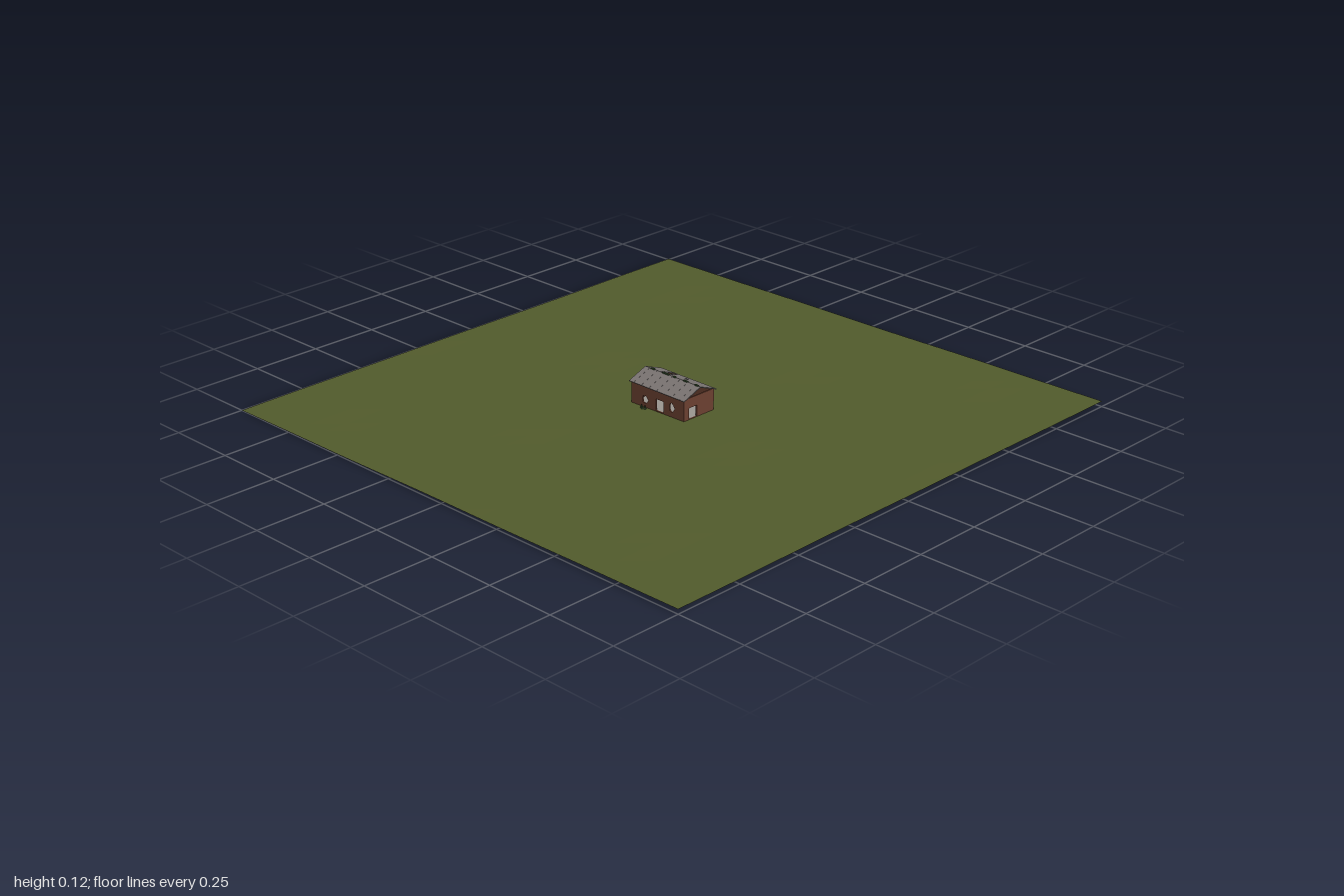
import * as THREE from 'three';

const material = (color) => new THREE.MeshStandardMaterial({ color, flatShading: true, side: THREE.DoubleSide });
const brick = material(0x6b4030), roofing = material(0x7a7472), grass = material(0x525b2c);
const concrete = material(0x9a9690), moss = material(0x38502f);

// Fits the gently sloping field
const groundHeight = (x, z) =>
  0.013 + 0.008 * x - 0.0015 * z + 0.001 * Math.sin(7 * x + 2 * z) * Math.cos(6 * z - 2 * x);

function add(parent, name, geometry, mat, x = 0, y = 0, z = 0) {
  const mesh = new THREE.Mesh(geometry, mat);
  mesh.name = name;
  mesh.position.set(x, y, z);
  parent.add(mesh);
  return mesh;
}

function outline(points) {
  return points.map(([x, y]) => new THREE.Vector2(x, y));
}

// Flat slab in the xy plane, outer face at z = 0, with polygon holes
function slab(x0, x1, y0, y1, depth, holes = []) {
  const shape = new THREE.Shape(outline([[x0, y0], [x1, y0], [x1, y1], [x0, y1]]));
  for (const h of holes) shape.holes.push(new THREE.Path(outline(h)));
  const g = new THREE.ExtrudeGeometry(shape, { depth, bevelEnabled: false });
  return g.translate(0, 0, -depth);
}

const rectHole = (x0, x1, y0, y1) => [[x0, y0], [x0, y1], [x1, y1], [x1, y0]];

// Ragged opening, irregular polygon around a centre
function brokenHole(cx, cy, rx, ry) {
  const pts = [];
  for (let i = 0; i < 8; i++) {
    const a = -i * Math.PI / 4, k = 1 - 0.2 * (i % 3 === 1);
    pts.push([cx + rx * k * Math.cos(a), cy + ry * k * Math.sin(a)]);
  }
  return pts;
}

export function createModel() {
  const model = new THREE.Group();
  model.name = 'ruinedHouseOnField';

  // Field
  const field = new THREE.PlaneGeometry(2, 2, 24, 24).rotateX(-Math.PI / 2);
  const p = field.attributes.position;
  for (let i = 0; i < p.count; i++) p.setY(i, groundHeight(p.getX(i), p.getZ(i)));
  field.computeVertexNormals();
  add(model, 'field', field, grass);

  // Walls
  const house = new THREE.Group();
  house.name = 'house';
  model.add(house);
  const halfX = 0.12, halfZ = 0.07, base = 0.01, top = 0.09, t = 0.005;
  const frontHoles = [
    brokenHole(-0.057, 0.04, 0.015, 0.015),
    rectHole(-0.008, 0.028, 0.016, 0.057),
    brokenHole(0.065, 0.047, 0.013, 0.017),
  ];
  add(house, 'frontWall', slab(-halfX, halfX, base, top, t, frontHoles), brick, 0, 0, halfZ);
  add(house, 'backWall', slab(-halfX, halfX, base, top, t), brick, 0, 0, -halfZ + t);
  const rightWall = slab(-halfZ + t, halfZ - t, base, top, t, [rectHole(-0.047, -0.01, 0.016, 0.055)]);
  add(house, 'doorEndWall', rightWall, brick, halfX).rotation.y = Math.PI / 2;
  const leftWall = slab(-halfZ + t, halfZ - t, base, top, t);
  add(house, 'blankEndWall', leftWall, brick, -halfX).rotation.y = -Math.PI / 2;
  add(house, 'floor', new THREE.BoxGeometry(0.23, 0.003, 0.13), concrete, 0, 0.0145, 0);

  // Roof: two thin slopes with open gables, holes in the rear one
  const ridge = 0.118, run = 0.076, rise = 0.029, len = Math.hypot(run, rise);
  const rearHoles = [
    rectHole(0.038, 0.063, -0.073, -0.004),
    brokenHole(-0.02, -0.05, 0.009, 0.009),
    brokenHole(0.029, -0.029, 0.005, 0.005),
  ];
  for (const [name, turn, holes] of [['frontRoof', 0, []], ['rearRoof', Math.PI, rearHoles]]) {
    const slope = new THREE.Group();
    slope.name = name;
    slope.position.y = ridge;
    slope.rotation.y = turn;
    house.add(slope);
    const panel = add(slope, name + 'Panel', slab(-0.126, 0.126, -len, 0, 0.003, holes), roofing);
    panel.rotation.x = Math.atan2(rise, run) - Math.PI / 2;
    // Sheet seams on the intact slope
    for (let i = 0; !turn && i < 7; i++)
      add(panel, 'roofSeam', new THREE.BoxGeometry(0.0015, len, 0.001), roofing, -0.105 + i * 0.035, -len / 2, 0);
  }

  // Moss along the ridge and a tuft by the front wall
  for (const [x, w] of [[-0.09, 0.018], [-0.03, 0.03], [0.01, 0.012], [0.06, 0.02], [0.11, 0.016]])
    add(house, 'ridgeMoss', new THREE.BoxGeometry(w, 0.004, 0.006), moss, x, ridge + 0.001, 0);
  for (let i = 0; i < 3; i++)
    add(house, 'grassTuft', new THREE.ConeGeometry(0.005, 0.014, 5), moss, -0.064 + i * 0.008, 0.019, 0.08 + (i % 2) * 0.005);

  return model;
}
